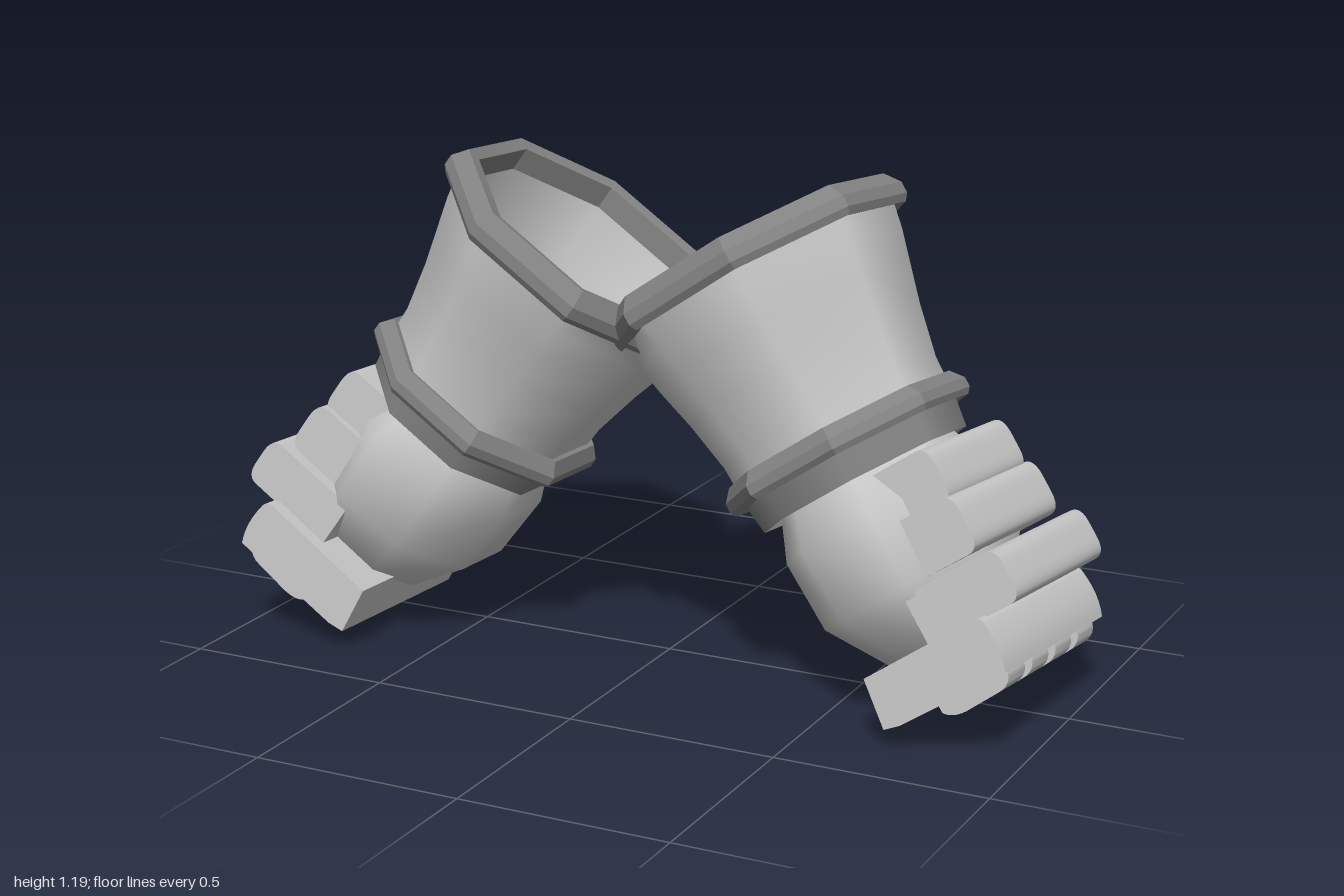
import * as THREE from 'three';
import { toCreasedNormals } from 'three/addons/utils/BufferGeometryUtils.js';

const OCT = Math.cos(Math.PI / 8); // apothem / circumradius of an octagon

// Tilt of one gauntlet: local +y runs up the forearm, +x to the finger side
const tilt = new THREE.Matrix4().makeTranslation(0.207, 0.962, 0)
  .multiply(new THREE.Matrix4().makeRotationZ(0.602))
  .multiply(new THREE.Matrix4().makeRotationX(-0.1));

// Eight-sided turned part; profile is [apothem, y], listed upward on the outside
function octagonal(profile) {
  const pts = profile.map(([r, y]) => new THREE.Vector2(r / OCT, y));
  return new THREE.LatheGeometry(pts, 8, Math.PI / 8);
}

// Cut a tilted octagonal part where it crosses the plane x = limit
function trimInner(geo, rows, limit) {
  const p = geo.attributes.position;
  for (const [ring, next] of [[5, 4], [6, 7]]) {
    for (let j = 0; j < rows; j++) {
      const a = new THREE.Vector3().fromBufferAttribute(p, ring * rows + j);
      const b = new THREE.Vector3().fromBufferAttribute(p, next * rows + j);
      if (a.x >= limit) continue;
      a.lerp(b, (limit - a.x) / (b.x - a.x));
      p.setXYZ(ring * rows + j, a.x, a.y, a.z);
    }
  }
  const kept = [];
  const idx = geo.index.array;
  for (let i = 0; i < idx.length; i += 3) {
    const tri = [idx[i], idx[i + 1], idx[i + 2]];
    if (tri.some((v) => p.getX(v) > limit + 1e-4)) kept.push(...tri);
  }
  geo.setIndex(kept);
  return geo;
}

// Extrude a profile along z, centred on z
function bar(shape, width, z) {
  const geo = new THREE.ExtrudeGeometry(shape, { depth: width, bevelEnabled: false, curveSegments: 6 });
  geo.translate(0, 0, z - width / 2);
  return toCreasedNormals(geo, 0.6);
}

// Finger plate profile with a bulging outer face
function plateShape(x0, x1, y0, y1) {
  const s = new THREE.Shape();
  const h = y1 - y0;
  s.moveTo(x0, y0);
  s.lineTo(x1 - 0.03, y0);
  s.quadraticCurveTo(x1, y0, x1, y0 + h * 0.35);
  s.lineTo(x1, y1 - h * 0.35);
  s.quadraticCurveTo(x1, y1, x1 - 0.03, y1);
  s.lineTo(x0, y1);
  s.closePath();
  return s;
}

function buildGauntlet(metal, trim) {
  const g = new THREE.Group();
  const add = (name, geo, mat) => {
    const m = new THREE.Mesh(geo, mat);
    m.name = name;
    g.add(m);
  };
  const place = (geo) => geo.applyMatrix4(tilt);

  // Flared forearm cuff, open at the top
  const cuff = [[0.247, -0.46], [0.25, -0.38], [0.272, -0.26], [0.296, -0.16], [0.313, -0.09], [0.328, 0]];
  add('cuff', trimInner(place(octagonal(cuff)), cuff.length, 0), metal);

  // Rims: closed octagonal bands
  const rimProfile = (r, y, w, h) => [
    [r - w, y - h * 0.7], [r - w * 0.2, y - h], [r, y - h * 0.6], [r, y + h * 0.1],
    [r - w * 0.45, y + h], [r - w, y + h * 0.8], [r - w, y - h * 0.7],
  ];
  const top = rimProfile(0.357, 0, 0.055, 0.04);
  add('topRim', toCreasedNormals(trimInner(place(octagonal(top)), top.length, -0.028), 0.6), trim);
  add('wristRim', toCreasedNormals(place(octagonal(rimProfile(0.283, -0.455, 0.05, 0.033))), 0.6), trim);
  add('wristBand', place(octagonal([[0.238, -0.55], [0.25, -0.455]])), trim);

  // Rounded hand
  const hand = octagonal([[0, -0.985], [0.135, -0.955], [0.225, -0.807], [0.232, -0.635],
    [0.2, -0.545], [0.17, -0.5], [0, -0.48]]);
  hand.scale(1, 1, 1.1).translate(0, 0, -0.02);
  add('hand', place(hand), metal);

  // Overlapping plates across the fingers: inner x, outer x, bottom, top, width
  const plates = [
    [0.06, 0.262, -0.69, -0.56, 0.41],
    [0.06, 0.272, -0.81, -0.676, 0.45],
    [0.06, 0.312, -0.945, -0.822, 0.48],
  ];
  plates.forEach(([x0, x1, y0, y1, w], i) => {
    add('fingerPlate' + (i + 1), place(bar(plateShape(x0, x1, y0, y1), w, -0.032)), metal);
  });

  // Fist block
  const block = new THREE.Shape();
  block.moveTo(-0.115, -1.06);
  block.lineTo(-0.075, -1.068);
  block.lineTo(0.215, -1.068);
  block.quadraticCurveTo(0.236, -1.02, 0.225, -0.955);
  block.quadraticCurveTo(0.222, -0.937, 0.2, -0.937);
  block.lineTo(-0.1, -0.942);
  block.closePath();
  add('fistBlock', place(bar(block, 0.55, -0.028)), metal);

  // Four knuckle studs on the striking face
  const stud = new THREE.Shape();
  stud.moveTo(0.015, -1.06);
  stud.lineTo(0.015, -1.085);
  stud.quadraticCurveTo(0.03, -1.105, 0.07, -1.105);
  stud.lineTo(0.16, -1.1);
  stud.quadraticCurveTo(0.2, -1.098, 0.205, -1.06);
  stud.closePath();
  for (let i = 0; i < 4; i++) {
    add('knuckle' + (i + 1), place(bar(stud, 0.09, -0.028 + (i - 1.5) * 0.13)), metal);
  }
  return g;
}

export function createModel() {
  const metal = new THREE.MeshStandardMaterial({ color: 0xc8c8c8, side: THREE.DoubleSide });
  metal.name = 'light metal';
  const trim = new THREE.MeshStandardMaterial({ color: 0x828282, side: THREE.DoubleSide });
  trim.name = 'dark trim';

  const model = new THREE.Group();
  model.name = 'gauntlets';
  const left = buildGauntlet(metal, trim);
  left.name = 'leftGauntlet';
  const right = left.clone();
  right.name = 'rightGauntlet';
  right.scale.x = -1;
  model.add(left, right);

  // Stand on the ground, centred front to back
  const box = new THREE.Box3().setFromObject(model, true);
  left.position.set(0, -box.min.y, -(box.min.z + box.max.z) / 2);
  right.position.copy(left.position);
  return model;
}
